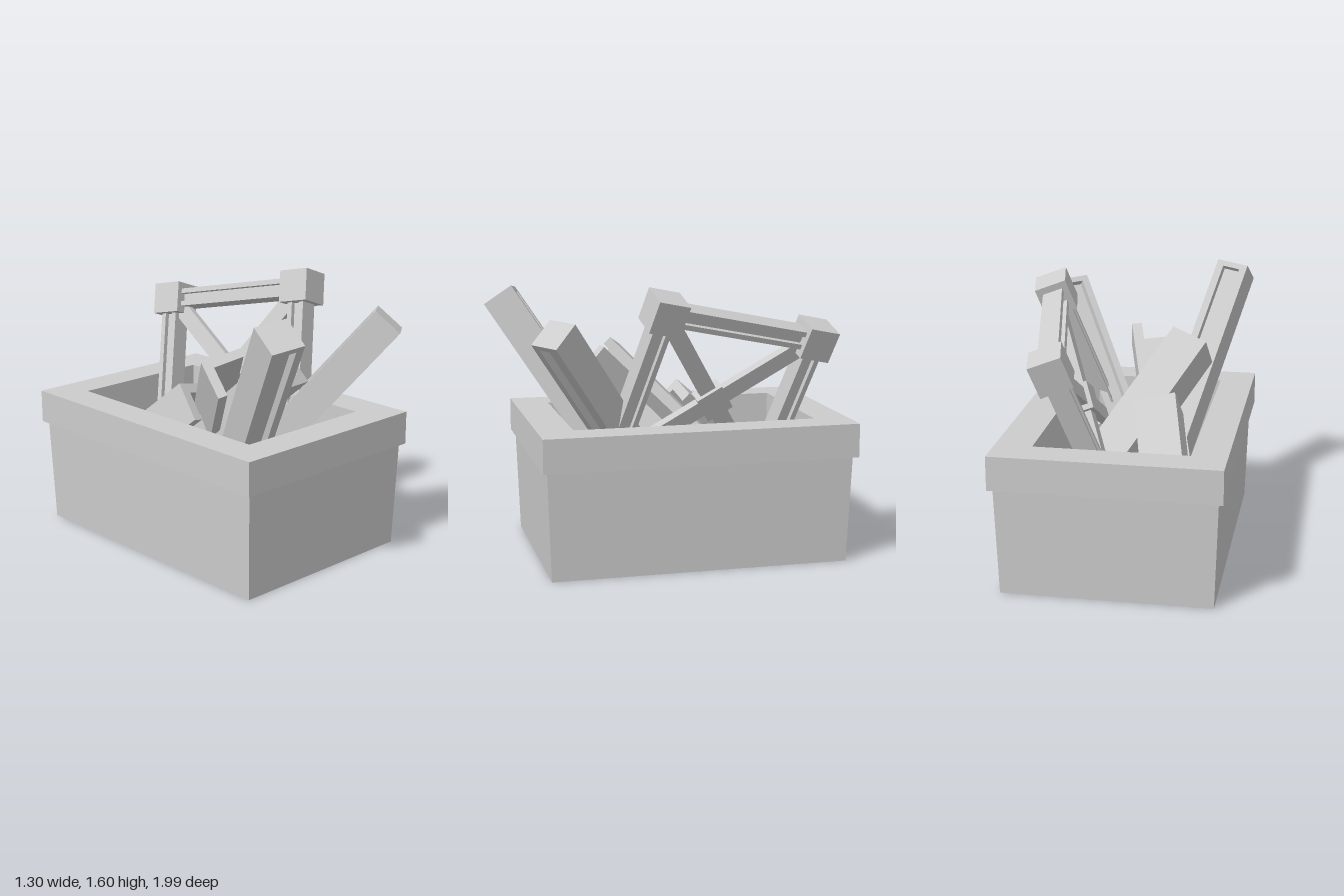
import * as THREE from 'three';

const steel = new THREE.MeshStandardMaterial({ color: 0xcccccc });
steel.name = 'plain grey';

function mesh(geometry, name) {
  const m = new THREE.Mesh(geometry, steel);
  m.name = name;
  return m;
}

function box(name, w, h, d, x = 0, y = 0, z = 0) {
  const m = mesh(new THREE.BoxGeometry(w, h, d), name);
  m.position.set(x, y, z);
  return m;
}

// Puts local z along `down` and local x along `across`, starting at `origin`
function place(object, origin, down, across) {
  const z = new THREE.Vector3(...down).normalize();
  const x = new THREE.Vector3(...across);
  x.addScaledVector(z, -x.dot(z)).normalize();
  const y = new THREE.Vector3().crossVectors(z, x);
  object.quaternion.setFromRotationMatrix(new THREE.Matrix4().makeBasis(x, y, z));
  object.position.set(...origin);
  return object;
}

// Skin through rectangular loops given as [x0, x1, z0, z1, y]
function rectangles(name, loops) {
  const corners = ([x0, x1, z0, z1, y]) => [[x0, y, z1], [x1, y, z1], [x1, y, z0], [x0, y, z0]];
  const pos = [];
  for (let i = 0; i + 1 < loops.length; i++) {
    const lo = corners(loops[i]), hi = corners(loops[i + 1]);
    for (let j = 0; j < 4; j++) {
      const k = (j + 1) % 4;
      pos.push(...lo[j], ...lo[k], ...hi[k], ...lo[j], ...hi[k], ...hi[j]);
    }
  }
  const g = new THREE.BufferGeometry();
  g.setAttribute('position', new THREE.Float32BufferAttribute(pos, 3));
  g.computeVertexNormals();
  return mesh(g, name);
}

// Beam along +z, grooved on its +y and -y faces, with closed ends
function groovedBeam(name, w, h, length, flange, groove, cap) {
  const g = new THREE.Group();
  g.name = name;
  const inner = length - 2 * cap;
  g.add(box('web', w - 2 * flange, h - 2 * groove, inner, 0, 0, length / 2));
  for (const s of [-1, 1]) {
    g.add(box('flange', flange, h, inner, s * (w - flange) / 2, 0, length / 2));
    if (cap) g.add(box('endCap', w, h, cap, 0, 0, length / 2 + s * (length - cap) / 2));
  }
  return g;
}

// L-shaped bar along +z with its outer corner at the origin
function angleBar(name, size, t, length) {
  const outline = [[0, 0], [size, 0], [size, t], [t, t], [t, size], [0, size]];
  const shape = new THREE.Shape(outline.map(p => new THREE.Vector2(...p)));
  return mesh(new THREE.ExtrudeGeometry(shape, { depth: length, bevelEnabled: false }), name);
}

// Square frame in the local xz plane with corner blocks and crossed braces
function braceFrame(side) {
  const g = new THREE.Group();
  g.name = 'bracedFrame';
  const strut = () => groovedBeam('frameStrut', 0.11, 0.12, side, 0.03, 0.03, 0);
  for (const p of [0, side]) {
    for (const q of [0, side]) g.add(box('cornerBlock', 0.19, 0.19, 0.19, p, 0, q));
    const upright = strut();
    upright.position.x = p;
    const rail = strut();
    rail.rotation.y = Math.PI / 2;
    rail.position.z = p;
    g.add(upright, rail);
  }
  for (const s of [-1, 1]) {
    const brace = box('crossBrace', 0.1, 0.05, side * 1.38, side / 2, 0, side / 2);
    brace.rotation.y = s * Math.PI / 4;
    g.add(brace);
  }
  const hub = box('braceHub', 0.165, 0.1, 0.165, side / 2, 0, side / 2);
  hub.rotation.y = Math.PI / 4;
  g.add(hub);
  return g;
}

export function createModel() {
  const model = new THREE.Group();
  model.name = 'scrapBin';

  // Bin: tapered body, overhanging rim, hollow interior
  model.add(
    rectangles('binBody', [
      [-0.015, -0.015, -0.09, -0.09, 0],
      [-0.61, 0.58, -0.95, 0.77, 0],
      [-0.628, 0.598, -0.972, 0.79, 0.62],
    ]),
    rectangles('binRim', [
      [-0.628, 0.598, -0.972, 0.79, 0.62],
      [-0.655, 0.625, -1, 0.815, 0.62],
      [-0.655, 0.625, -1, 0.815, 0.815],
      [-0.455, 0.415, -0.8, 0.61, 0.815],
    ]),
    rectangles('binInterior', [
      [-0.455, 0.415, -0.8, 0.61, 0.815],
      [-0.45, 0.41, -0.79, 0.6, 0.1],
      [-0.015, -0.015, -0.09, -0.09, 0.1],
    ]),
  );

  // Grooved beams leaning out over the front
  model.add(
    place(groovedBeam('rightGroovedBeam', 0.197, 0.197, 1.55, 0.045, 0.045, 0.035),
      [-0.511, 1.476, 0.885], [0.25, -0.815, -0.52], [0.19, 0.025, 0.05]),
    place(groovedBeam('leftGroovedBeam', 0.188, 0.188, 1.5, 0.043, 0.045, 0.035),
      [0.535, 1.367, 0.735], [-0.42, -0.753, -0.505], [0.15, -0.01, -0.11]),
  );

  // Angle bars tumbled in the middle
  model.add(
    place(angleBar('diagonalAngleBar', 0.236, 0.055, 1.3),
      [-0.41, 1.18, 0.18], [0.46, -0.64, -0.61], [0.21, 0.06, 0.09]),
    place(angleBar('rearAngleBar', 0.244, 0.06, 0.92),
      [-0.275, 0.963, -0.156], [-0.205, -0.637, -0.743], [0.238, -0.05, -0.016]),
    place(angleBar('frontAngleBar', 0.245, 0.06, 1.35),
      [0.095, 1.043, 0.526], [-0.24, -0.675, -0.699], [-0.243, 0.02, 0.064]),
    place(angleBar('lowAngleBar', 0.2, 0.055, 0.8),
      [-0.03, 0.87, 0.1], [0.46, -0.64, -0.61], [0.5, -0.35, 0.79]),
  );

  // Square frame with crossed braces
  model.add(place(braceFrame(0.972), [0.475, 1.46, 0.105], [-0.3, -0.886, 0.245], [-0.18, -0.2, -0.94]));

  return model;
}
